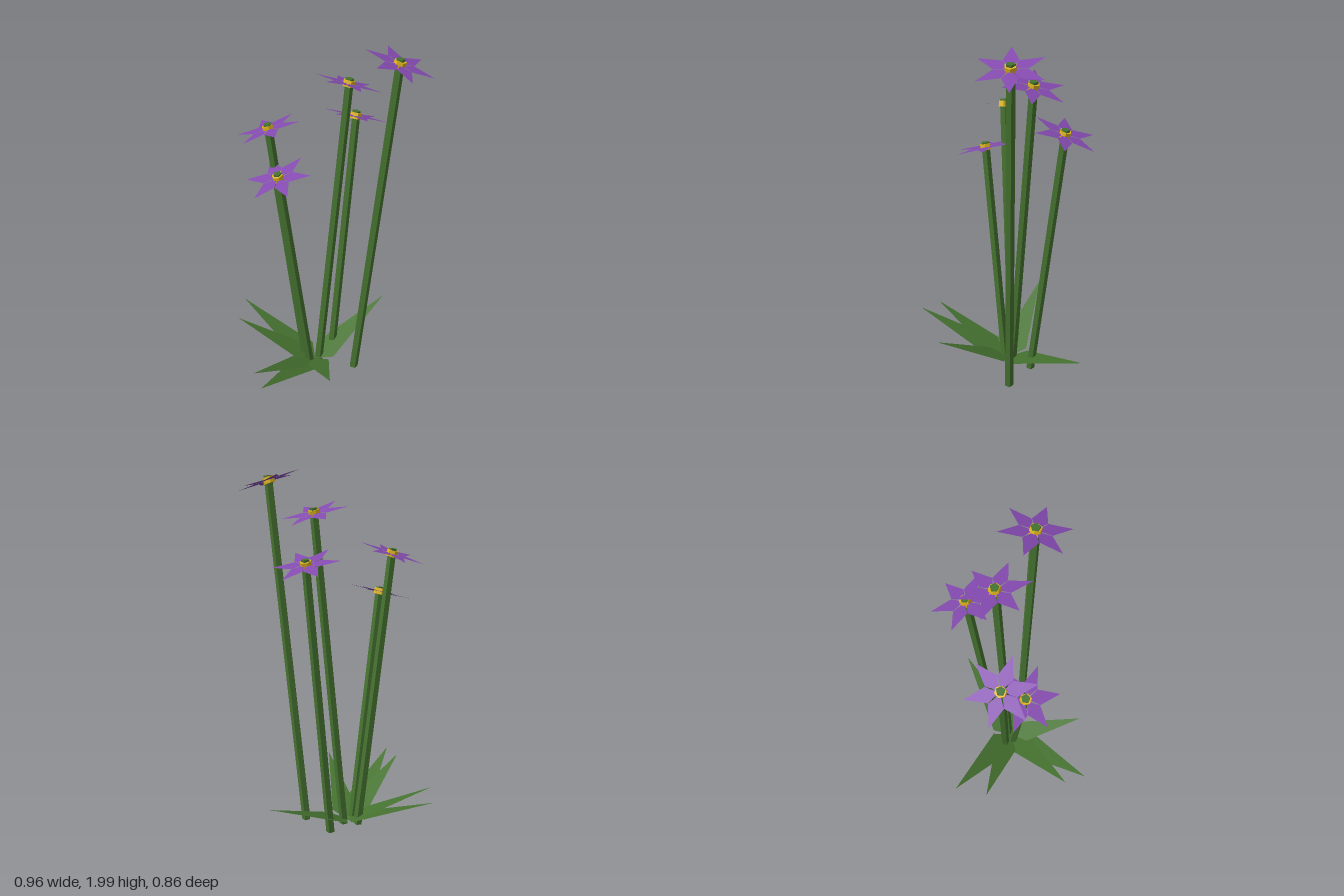
import * as THREE from 'three';

const mat = (name, color, extra = {}) => {
  const m = new THREE.MeshStandardMaterial({ color, flatShading: true, ...extra });
  m.name = name;
  return m;
};

const UP = new THREE.Vector3(0, 1, 0);

// Flat blade lying in XZ and pointing along +z: base and widest station, ending in a tip
function blade(base, baseHalf, mid, midHalf, tip) {
  const s = new THREE.Shape();
  s.moveTo(-baseHalf, base);
  s.lineTo(baseHalf, base);
  s.lineTo(midHalf, mid);
  s.lineTo(0, tip);
  s.lineTo(-midHalf, mid);
  s.closePath();
  // lay the shape down with its front looking up
  return new THREE.ShapeGeometry(s).rotateX(-Math.PI / 2).rotateY(Math.PI);
}

export function createModel() {
  const green = mat('leaf green', 0x467330, { side: THREE.DoubleSide });
  const purple = mat('petal purple', 0x844ab0, { side: THREE.DoubleSide });
  const yellow = mat('centre yellow', 0xe0b41e);

  const model = new THREE.Group();
  model.name = 'floweringPlant';
  const add = (parent, name, geo, material) => {
    const mesh = new THREE.Mesh(geo, material);
    mesh.name = name;
    parent.add(mesh);
    return mesh;
  };

  // Flowers: stem foot (x, z), blossom centre, slope of the blossom's normal (x, z)
  const flowers = [
    { foot: [0.17, 0.09], head: [0.33, 1.935, 0.165], lean: [0.28, 0.2] },
    { foot: [-0.02, -0.03], head: [0.152, 1.778, -0.053], lean: [0.3, -0.12] },
    { foot: [0.085, -0.098], head: [0.24, 1.538, -0.188], lean: [0.28, -0.22] },
    { foot: [-0.092, -0.065], head: [-0.26, 1.563, -0.103], lean: [-0.28, -0.17] },
    { foot: [-0.08, -0.012], head: [-0.244, 1.34, 0.02], lean: [-0.3, 0.1] },
  ];
  const petalGeo = blade(0.026, 0.011, 0.069, 0.039, 0.178);
  const centreGeo = new THREE.CylinderGeometry(0.03, 0.032, 0.034, 6);

  for (const { foot, head, lean } of flowers) {
    const flower = new THREE.Group();
    flower.name = 'flower';
    model.add(flower);

    // Stem, its end standing just proud of the blossom centre
    const a = new THREE.Vector3(foot[0], 0.004, foot[1]);
    const b = new THREE.Vector3(...head);
    const dir = b.clone().sub(a).normalize();
    b.addScaledVector(dir, 0.025);
    const stem = add(flower, 'stem', new THREE.CylinderGeometry(0.0235, 0.0255, a.distanceTo(b), 5), green);
    stem.position.copy(a).add(b).multiplyScalar(0.5);
    stem.quaternion.setFromUnitVectors(UP, dir);

    // Blossom tilted outwards
    const blossom = new THREE.Group();
    blossom.name = 'blossom';
    blossom.position.set(...head);
    blossom.quaternion.setFromUnitVectors(UP, new THREE.Vector3(lean[0], 1, lean[1]).normalize());
    flower.add(blossom);
    add(blossom, 'flowerCentre', centreGeo, yellow);
    for (let i = 0; i < 6; i++) {
      add(blossom, 'petal', petalGeo, purple).rotation.y = (i * Math.PI) / 3;
    }
  }

  // Leaves fanning from the foot of the plant to tips at one height
  const crown = new THREE.Vector3(-0.045, 0.02, -0.02);
  const tips = [
    [-0.39, -0.43], [-0.465, -0.25], [-0.477, 0.25],
    [-0.462, 0.377], [-0.085, 0.427], [0.465, -0.215],
  ];
  for (const [x, z] of tips) {
    const tip = new THREE.Vector3(x, 0.255, z);
    const len = tip.distanceTo(crown);
    const leaf = add(model, 'leaf', blade(0, 0.003, len * 0.14, len * 0.145, len), green);
    leaf.position.copy(crown);
    leaf.lookAt(tip);
  }
  return model;
}
